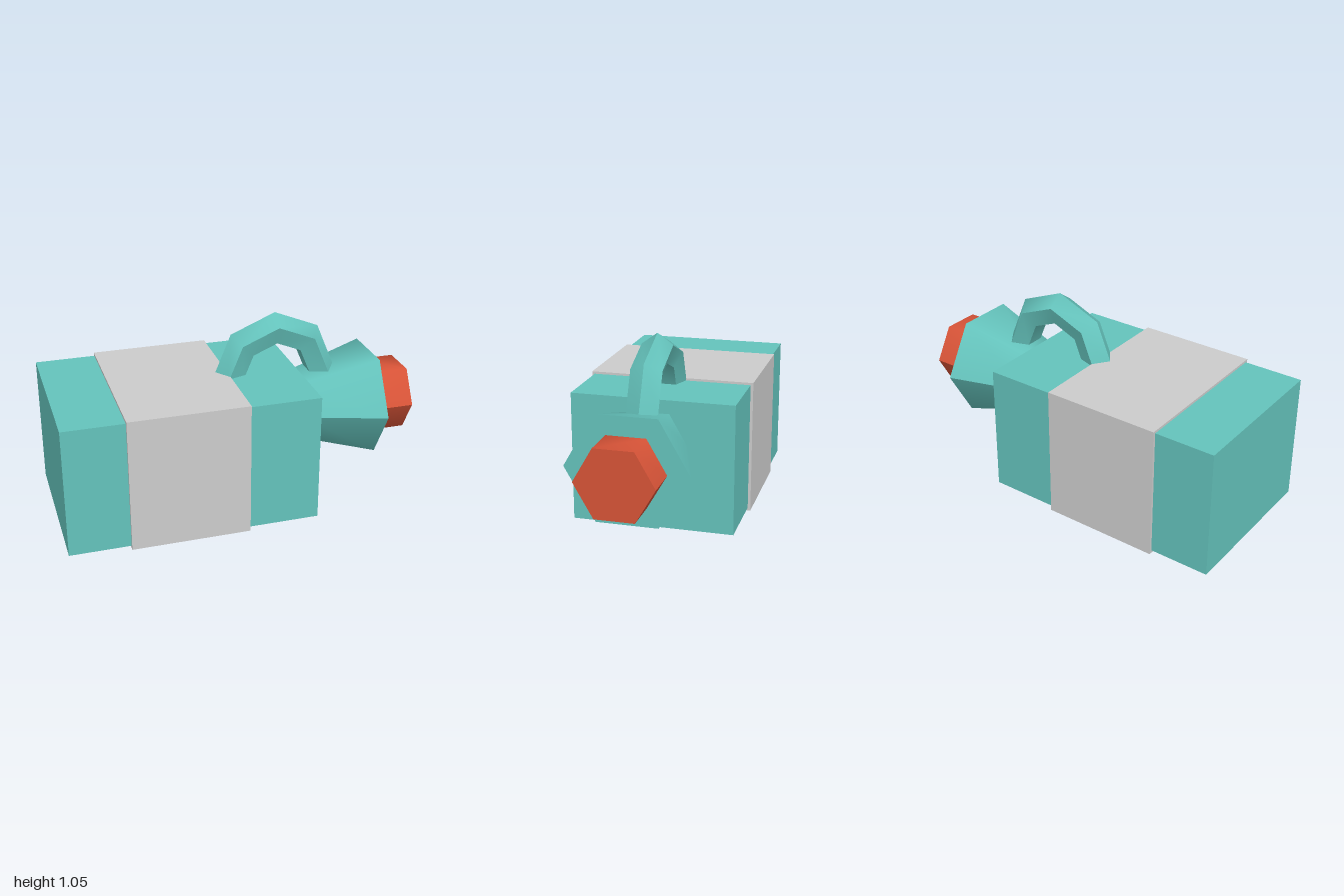
import * as THREE from 'three';
import { mergeGeometries, toCreasedNormals } from 'three/addons/utils/BufferGeometryUtils.js';

const teal = new THREE.MeshStandardMaterial({ color: 0x64c2bb });
const tealOpen = new THREE.MeshStandardMaterial({ color: 0x64c2bb, side: THREE.DoubleSide });
const red = new THREE.MeshStandardMaterial({ color: 0xd65337 });
const grey = new THREE.MeshStandardMaterial({ color: 0xcccccc });

// Six-sided frustum along x, softly shaded above and below a hard side edge
function hexFrustum(rBack, rFront, x0, x1) {
  const parts = [0, Math.PI].map((start) => {
    const half = new THREE.CylinderGeometry(rFront, rBack, x1 - x0, 3, 1, true, start, Math.PI);
    half.rotateZ(-Math.PI / 2);
    half.computeVertexNormals();
    return half;
  });
  const len = (x1 - x0) / 2;
  parts.push(new THREE.CircleGeometry(rFront, 6).rotateY(Math.PI / 2).translate(len, 0, 0));
  parts.push(new THREE.CircleGeometry(rBack, 6).rotateY(-Math.PI / 2).translate(-len, 0, 0));
  return mergeGeometries(parts).translate((x0 + x1) / 2, 0.49, 0);
}

// Box given by its x and y limits and its depth
function block(x0, x1, y0, y1, depth) {
  return new THREE.BoxGeometry(x1 - x0, y1 - y0, depth)
    .translate((x0 + x1) / 2, (y0 + y1) / 2, 0);
}

export function createModel() {
  const model = new THREE.Group();
  const add = (name, geometry, material) => {
    const mesh = new THREE.Mesh(geometry, material);
    mesh.name = name;
    model.add(mesh);
  };

  // Housing with a slightly wider band around it
  add('body', block(-1, 0.36, 0.016, 0.728, 0.886), teal);
  add('band', block(-0.672, -0.027, 0, 0.741, 0.916), grey);

  // Flared head and lens
  add('head', hexFrustum(0.188, 0.324, 0.355, 0.803), teal);
  add('lens', hexFrustum(0.206, 0.206, 0.8, 1), red);

  // Arched handle with a five-sided section
  const arch = new THREE.TorusGeometry(0.261, 0.089, 5, 4, Math.PI);
  add('handle', toCreasedNormals(arch, Math.PI / 3).translate(0.245, 0.702, 0), tealOpen);

  return model;
}
